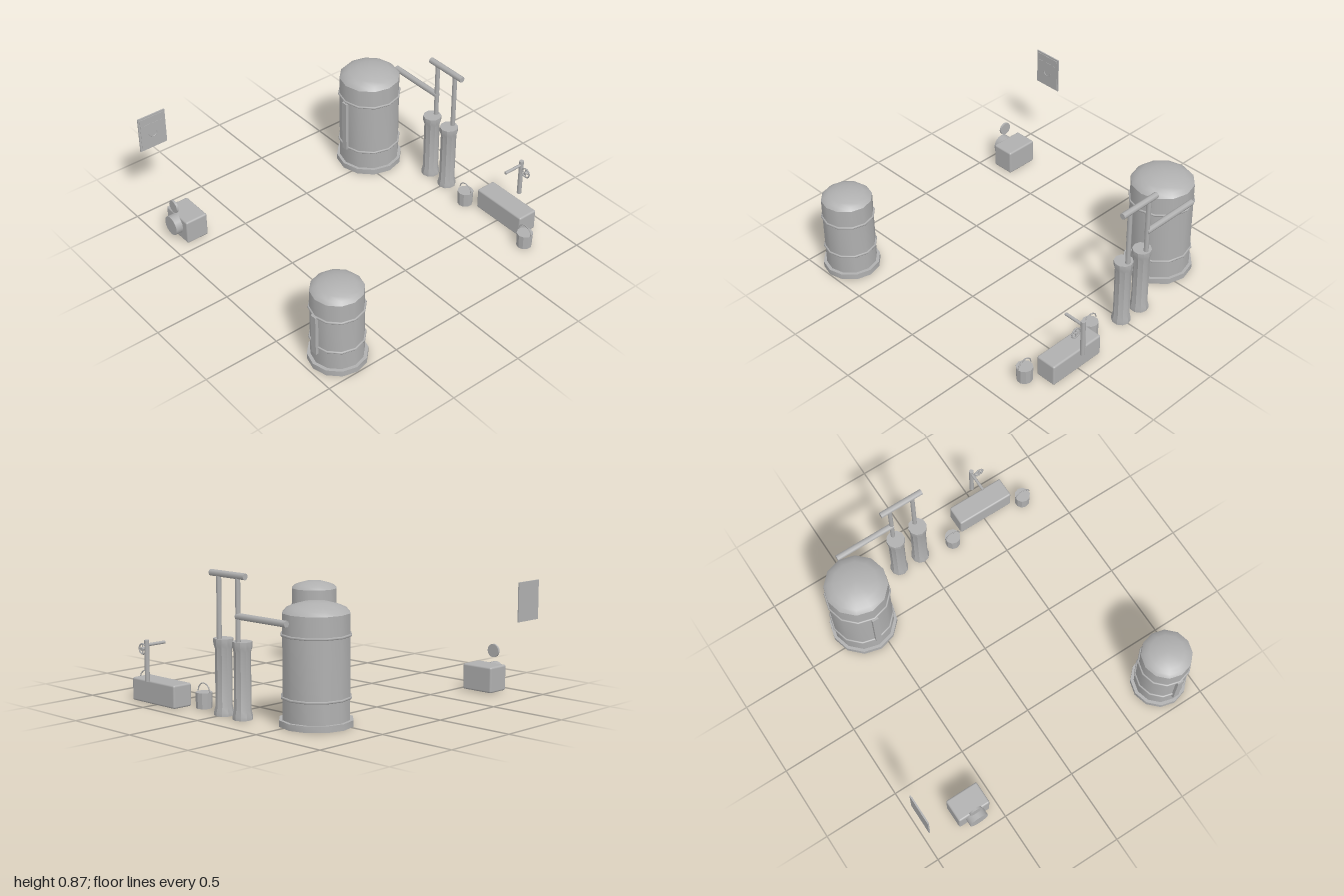
import * as THREE from 'three';
import { toCreasedNormals } from 'three/addons/utils/BufferGeometryUtils.js';
import { RoundedBoxGeometry } from 'three/addons/geometries/RoundedBoxGeometry.js';

const steel = new THREE.MeshStandardMaterial({ color: 0xb0b0b0 });
steel.name = 'grey steel';

export function createModel() {
  const model = new THREE.Group();

  function group(name, x, y, z) {
    const g = new THREE.Group();
    g.name = name;
    g.position.set(x, y, z);
    model.add(g);
    return g;
  }
  function add(parent, name, geometry, x = 0, y = 0, z = 0) {
    const m = new THREE.Mesh(geometry, steel);
    m.name = name;
    m.position.set(x, y, z);
    parent.add(m);
    return m;
  }
  const lathe = (points, sides) => toCreasedNormals(
    new THREE.LatheGeometry(points.map(p => new THREE.Vector2(...p)), sides), 0.6);
  const rod = (r, length, sides = 8) => new THREE.CylinderGeometry(r, r, length, sides);

  // Domed storage tanks with plinth, hoops and sight gauge
  function tank(name, x, z, t) {
    const g = group(name, x, 0, z);
    const { r, base, shoulder, top } = t;
    const rise = top - shoulder;
    add(g, 'plinth', lathe([[0, 0], [base, 0], [base, 0.038], [0, 0.038]], 12));
    add(g, 'shell', lathe([
      [r, 0.03], [r, shoulder], [r * 0.88, shoulder + rise * 0.38],
      [r * 0.7, shoulder + rise * 0.64], [r * 0.4, shoulder + rise * 0.9], [0, top],
    ], 12));
    for (const y of t.hoops) {
      const hoop = add(g, 'hoop', new THREE.TorusGeometry(r + 0.002, 0.008, 6, 12), 0, y, 0);
      hoop.rotation.x = Math.PI / 2;
    }
    const [low, high] = t.gauge;
    add(g, 'gauge', new THREE.BoxGeometry(0.042, high - low, 0.03), 0, (low + high) / 2, r);
  }
  tank('largeTank', -0.565, -0.587, {
    r: 0.2, base: 0.22, shoulder: 0.655, top: 0.72, hoops: [0.53, 0.168], gauge: [0.157, 0.522],
  });
  tank('smallTank', 0.815, 0.79, {
    r: 0.16, base: 0.181, shoulder: 0.52, top: 0.57, hoops: [0.395, 0.168], gauge: [0.12, 0.4],
  });

  // Twin cylinders with risers
  const pump = group('pipework', 0, 0, -0.822);
  for (const x of [-0.163, 0]) {
    add(pump, 'cylinder', lathe([
      [0, 0], [0.06, 0], [0.06, 0.02], [0.051, 0.06], [0.051, 0.4],
      [0.06, 0.43], [0.06, 0.462], [0, 0.462],
    ], 10), x, 0, 0.032);
    add(pump, 'riser', rod(0.015, 0.4), x, 0.65, 0);
  }
  // Horizontal pipes
  for (const [x0, x1, y] of [[-0.227, 0.067, 0.847], [-0.564, -0.155, 0.612]]) {
    const pipe = add(pump, 'crossPipe', rod(0.02, x1 - x0), (x0 + x1) / 2, y, 0);
    pipe.rotation.z = Math.PI / 2;
  }

  // Buckets with bail handles
  for (const x of [0.23, 0.783]) {
    const bucket = group('bucket', x, 0, -0.746);
    add(bucket, 'pail', toCreasedNormals(new THREE.CylinderGeometry(0.052, 0.049, 0.098, 10), 0.6), 0, 0.049, 0);
    add(bucket, 'handle', new THREE.TorusGeometry(0.053, 0.004, 5, 6, Math.PI), 0, 0.1, 0);
  }

  // Trough
  const trough = group('trough', 0.511, 0, -0.842);
  add(trough, 'basin', new RoundedBoxGeometry(0.396, 0.144, 0.14, 2, 0.012), 0, 0.074, 0);

  // Tap with spout and valve wheel
  const tap = group('tap', 0.513, 0, -0.951);
  add(tap, 'standpipe', rod(0.015, 0.256), 0, 0.278, 0);
  const spout = add(tap, 'spout', rod(0.01, 0.14), 0, 0.376, 0.07);
  spout.rotation.x = Math.PI / 2;
  const wheel = new THREE.Group();
  wheel.name = 'valveWheel';
  wheel.position.set(0.051, 0.344, 0.009);
  tap.add(wheel);
  add(wheel, 'rim', new THREE.TorusGeometry(0.032, 0.005, 6, 14));
  const hub = add(wheel, 'hub', rod(0.011, 0.02));
  hub.rotation.x = Math.PI / 2;
  for (const angle of [0, Math.PI / 2]) {
    const spoke = add(wheel, 'spoke', rod(0.004, 0.062, 6));
    spoke.rotation.z = angle;
  }

  // Boxed unit with front drum and small floating dial
  const unit = group('controlBox', -0.667, 0, 0.828);
  add(unit, 'casing', new RoundedBoxGeometry(0.225, 0.165, 0.156, 2, 0.012), 0, 0.092, 0);
  const drum = add(unit, 'drum', rod(0.065, 0.06, 16), 0.002, 0.111, 0.096);
  const dial = add(unit, 'dial', rod(0.043, 0.014, 16), 0, 0.249, 0.09);
  drum.rotation.x = dial.rotation.x = Math.PI / 2;

  // Thin wall board facing +x
  const board = group('wallBoard', -0.996, 0.613, 0.83);
  add(board, 'backing', new THREE.BoxGeometry(0.008, 0.246, 0.198));
  add(board, 'sheet', new THREE.BoxGeometry(0.004, 0.222, 0.174), 0.005, 0, 0);
  add(board, 'rule', new THREE.BoxGeometry(0.003, 0.005, 0.16), 0.007, 0.06, 0);
  const arc = add(board, 'arc', new THREE.TorusGeometry(0.03, 0.003, 5, 10, Math.PI), 0.008, -0.01, 0);
  arc.rotation.set(0, Math.PI / 2, Math.PI);

  return model;
}
